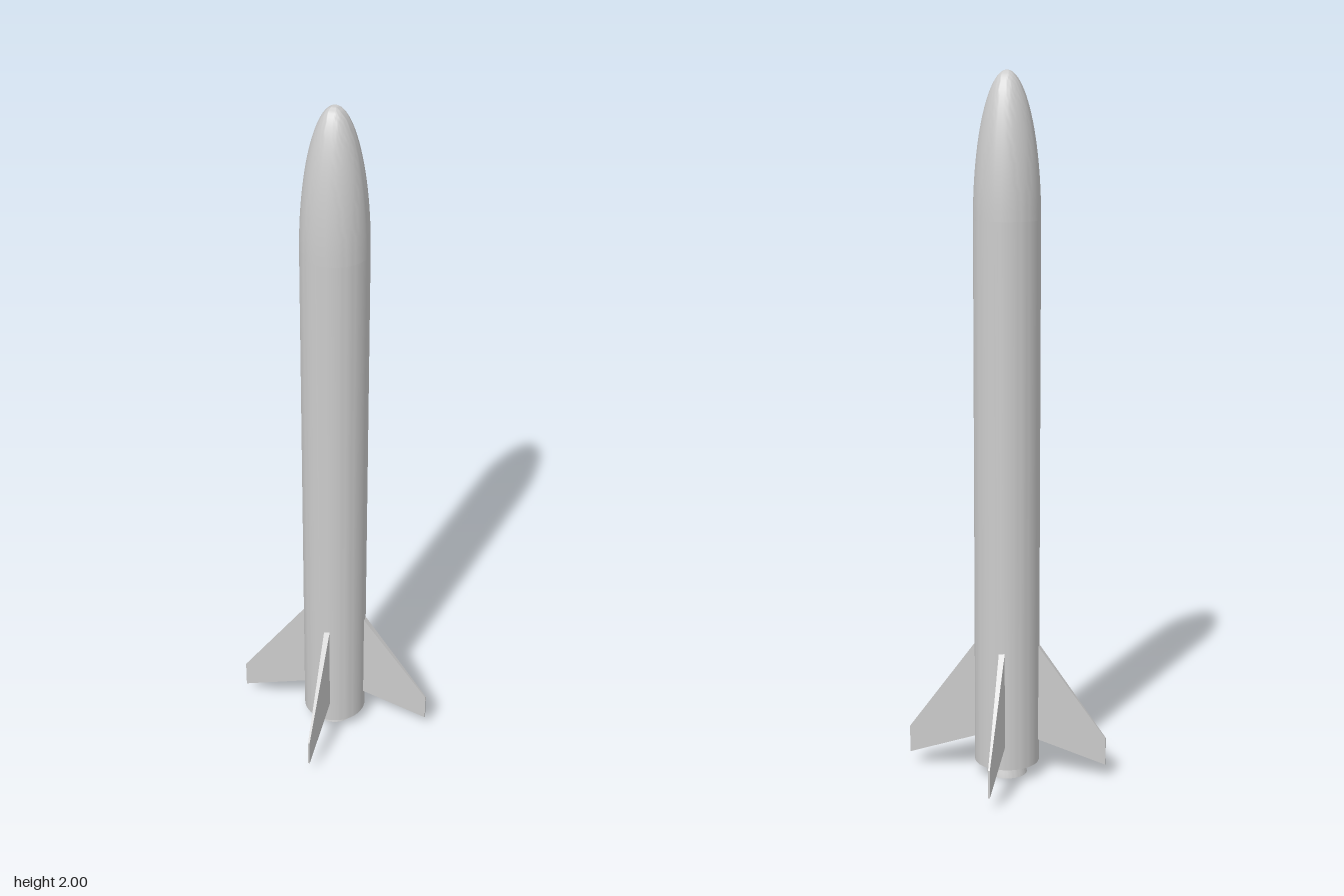
import * as THREE from 'three';
import { toCreasedNormals } from 'three/addons/utils/BufferGeometryUtils.js';

const R = 0.093; // body radius
const material = new THREE.MeshStandardMaterial({ color: 0xcccccc });

function lathe(name, points, crease = 0.6) {
  const profile = points.map(([r, y]) => new THREE.Vector2(r, y));
  const geometry = toCreasedNormals(new THREE.LatheGeometry(profile, 64), crease);
  const mesh = new THREE.Mesh(geometry, material);
  mesh.name = name;
  return mesh;
}

// Swept fin reaching out along +z, its thickness tapering from root to tip
function finGeometry() {
  const root = 0.08, tip = 0.287;
  // each corner: distance out, height
  const outline = [[root, 0.11], [tip, 0.04], [tip, 0.12], [root, 0.405]];
  const shape = new THREE.Shape(outline.map(([r, y]) => new THREE.Vector2(r, y)));
  const geometry = new THREE.ExtrudeGeometry(shape, { depth: 1, bevelEnabled: false });
  const pos = geometry.attributes.position;
  for (let i = 0; i < pos.count; i++) {
    const r = pos.getX(i), y = pos.getY(i), side = pos.getZ(i);
    const t = (r - root) / (tip - root);
    const inner = THREE.MathUtils.lerp(0, 0.026, t);
    const outer = THREE.MathUtils.lerp(0.018, 0.031, t);
    // side 0 becomes the +x face, side 1 the -x face
    pos.setXYZ(i, THREE.MathUtils.lerp(outer, inner, side), y, r);
  }
  // (r, y, side) -> (-side, y, r) is a plain rotation, so the winding is kept
  geometry.computeVertexNormals();
  return geometry;
}

export function createModel() {
  const model = new THREE.Group();
  model.name = 'rocket';

  // Body tube with a recessed base
  model.add(lathe('body', [
    [0, 0.1], [0.083, 0.1], [0.083, 0.04], [R, 0.04], [R, 1.6], [0.087, 1.6],
  ]));

  // Rounded elliptical nose
  const nose = [];
  for (let i = 0; i <= 24; i++) {
    const a = (i / 24) * Math.PI / 2;
    nose.push([i === 24 ? 0 : R * Math.cos(a), 1.6 + 0.4 * Math.sin(a)]);
  }
  model.add(lathe('noseCone', nose, 1.2));

  // Flared engine nozzle, hollow inside
  model.add(lathe('nozzle', [
    [0, 0.09], [0.016, 0.09], [0.042, 0], [0.058, 0], [0.055, 0.012], [0.045, 0.04], [0.028, 0.1],
  ]));

  // Four fins in a pinwheel
  const geometry = finGeometry();
  for (let i = 0; i < 4; i++) {
    const fin = new THREE.Mesh(geometry, material);
    fin.name = `fin${i + 1}`;
    fin.rotation.y = i * Math.PI / 2;
    model.add(fin);
  }
  return model;
}
